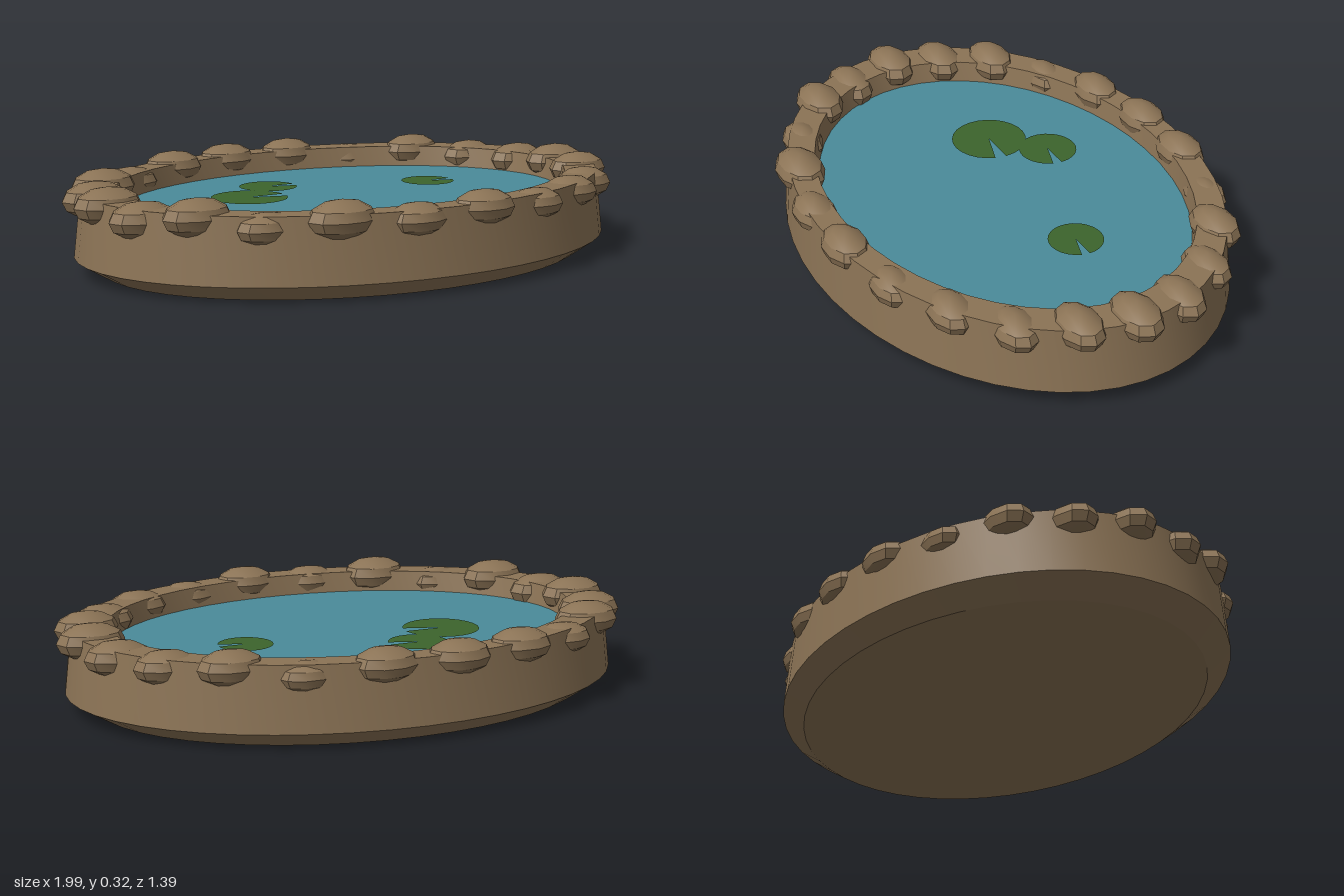
import * as THREE from 'three';
import { toCreasedNormals } from 'three/addons/utils/BufferGeometryUtils.js';

const DEPTH = 0.72; // z radius of the oval relative to its x radius

function material(name, color, side = THREE.FrontSide) {
  const m = new THREE.MeshStandardMaterial({ color, side });
  m.name = name;
  return m;
}

export function createModel() {
  const pond = new THREE.Group();
  pond.name = 'pond';
  const stone = material('stone brown', 0x8b7355);
  const water = material('water blue', 0x4a8b9a);
  const leaf = material('leaf green', 0x3c642c, THREE.DoubleSide);

  const add = (name, geometry, mat, parent = pond) => {
    const mesh = new THREE.Mesh(geometry, mat);
    mesh.name = name;
    parent.add(mesh);
    return mesh;
  };

  // Oval basin: bottom, chamfer, tapering wall, flat rim and inner wall
  const profile = [
    [0, 0], [0.86, 0], [0.955, 0.055], [0.93, 0.27],
    [0.81, 0.27], [0.79, 0.18],
  ].map(([x, y]) => new THREE.Vector2(x, y));
  const basin = new THREE.LatheGeometry(profile, 48);
  basin.scale(1, 1, DEPTH);
  add('basin', toCreasedNormals(basin, 0.5), stone);

  // Water surface
  const surface = new THREE.CircleGeometry(0.797, 48);
  surface.rotateX(-Math.PI / 2);
  surface.scale(1, 1, DEPTH);
  add('water', surface, water).position.y = 0.2;

  // Rim stones, [half width, centre height] in order from the left side round the front
  const stones = [
    [0.115, 0.25], [0.11, 0.25], [0.107, 0.23], [0.105, 0.235], [0.1, 0.23], [0.11, 0.25],
    [0.105, 0.235], [0.12, 0.25], [0.1, 0.225], [0.117, 0.255], [0.115, 0.23],
    [0.117, 0.25], [0.115, 0.24], [0.115, 0.25], [0.1, 0.23], [0.11, 0.25],
    [0.11, 0.25], [0.11, 0.25], [0.095, 0.225], [0.11, 0.25], [0.105, 0.235], [0.11, 0.235],
  ];
  const rimStones = new THREE.Group();
  rimStones.name = 'rimStones';
  pond.add(rimStones);
  stones.forEach(([r, y], i) => {
    const a = (i / stones.length) * Math.PI * 2;
    const pebble = new THREE.SphereGeometry(1, 10, 6);
    pebble.scale(r, r * 0.53, r * DEPTH * 0.93);
    add('rimStone', toCreasedNormals(pebble, 0.55), stone, rimStones)
      .position.set(0.88 * Math.cos(a), y, 0.88 * DEPTH * Math.sin(a));
  });

  // Lily pads with a notch, [x, z, radius]
  [[-0.31, -0.115, 0.13], [-0.155, -0.265, 0.1], [0.38, -0.075, 0.092]].forEach(([x, z, r], i) => {
    const pad = new THREE.CircleGeometry(r, 24, 0, Math.PI * 2 - 0.3);
    pad.rotateX(-Math.PI / 2);
    add('lilyPad', pad, leaf).position.set(x, 0.207 + i * 0.001, z);
  });

  return pond;
}
